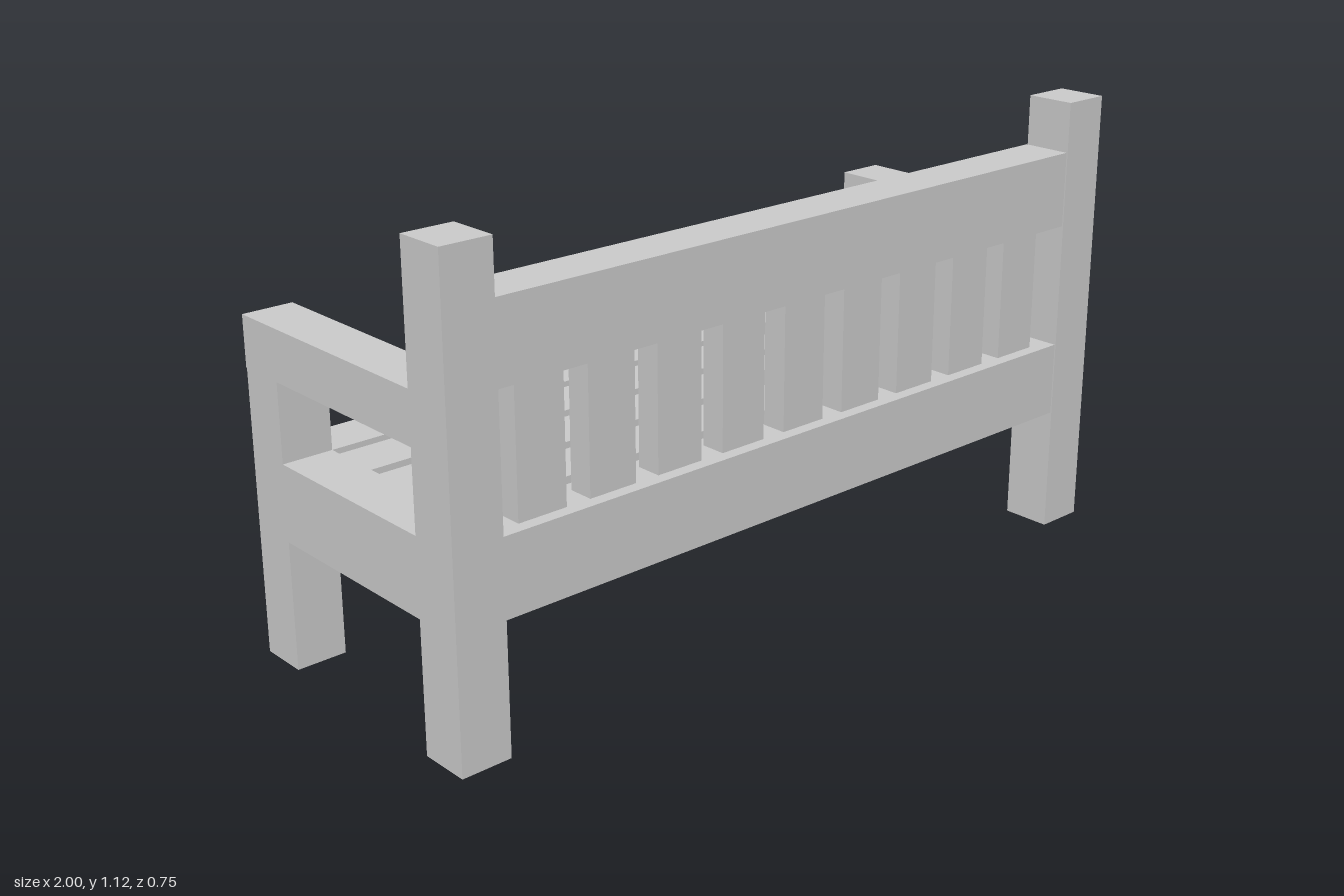
import * as THREE from 'three';

// Garden bench: the tall slatted back rises on the +z side.
export function createModel() {
  const bench = new THREE.Group();
  bench.name = 'bench';
  const material = new THREE.MeshStandardMaterial({ color: 0xcccccc, flatShading: true });

  // Box given by its extents along each axis
  const beam = (name, [x0, x1], [y0, y1], [z0, z1]) => {
    const mesh = new THREE.Mesh(new THREE.BoxGeometry(x1 - x0, y1 - y0, z1 - z0), material);
    mesh.position.set((x0 + x1) / 2, (y0 + y1) / 2, (z0 + z1) / 2);
    mesh.name = name;
    bench.add(mesh);
  };

  const inner = 0.875;
  const span = [-inner, inner];
  const seat = [0.315, 0.5];
  const backZ = [0.25, 0.375];
  const frontZ = [-0.375, -0.25];

  // Posts, armrests and side rails, one set per end
  for (const [side, x] of [['left', [inner, 1]], ['right', [-1, -inner]]]) {
    beam(side + 'BackPost', x, [0, 1.125], [0.253, 0.378]);
    beam(side + 'FrontPost', x, [0, 0.69], [-0.373, -0.25]);
    beam(side + 'Armrest', x, [0.69, 0.8125], [-0.376, 0.253]);
    beam(side + 'SideRail', x, seat, [-0.25, 0.253]);
  }

  // Long rails
  beam('frontSeatRail', span, seat, frontZ);
  beam('backSeatRail', span, seat, backZ);
  beam('topBackRail', span, [0.8125, 1], backZ);

  // Thin seat slats between the rails
  for (let i = -1; i <= 1; i++) {
    const z = i * 0.156 - 0.002;
    beam('seatSlat', span, [0.47, 0.5], [z - 0.0625, z + 0.0625]);
  }

  // Upright back slats
  for (let i = -4; i <= 4; i++) {
    const x = i * 0.1875;
    beam('backSlat', [x - 0.0625, x + 0.0625], [0.5, 0.8125], [0.281, 0.344]);
  }

  return bench;
}
